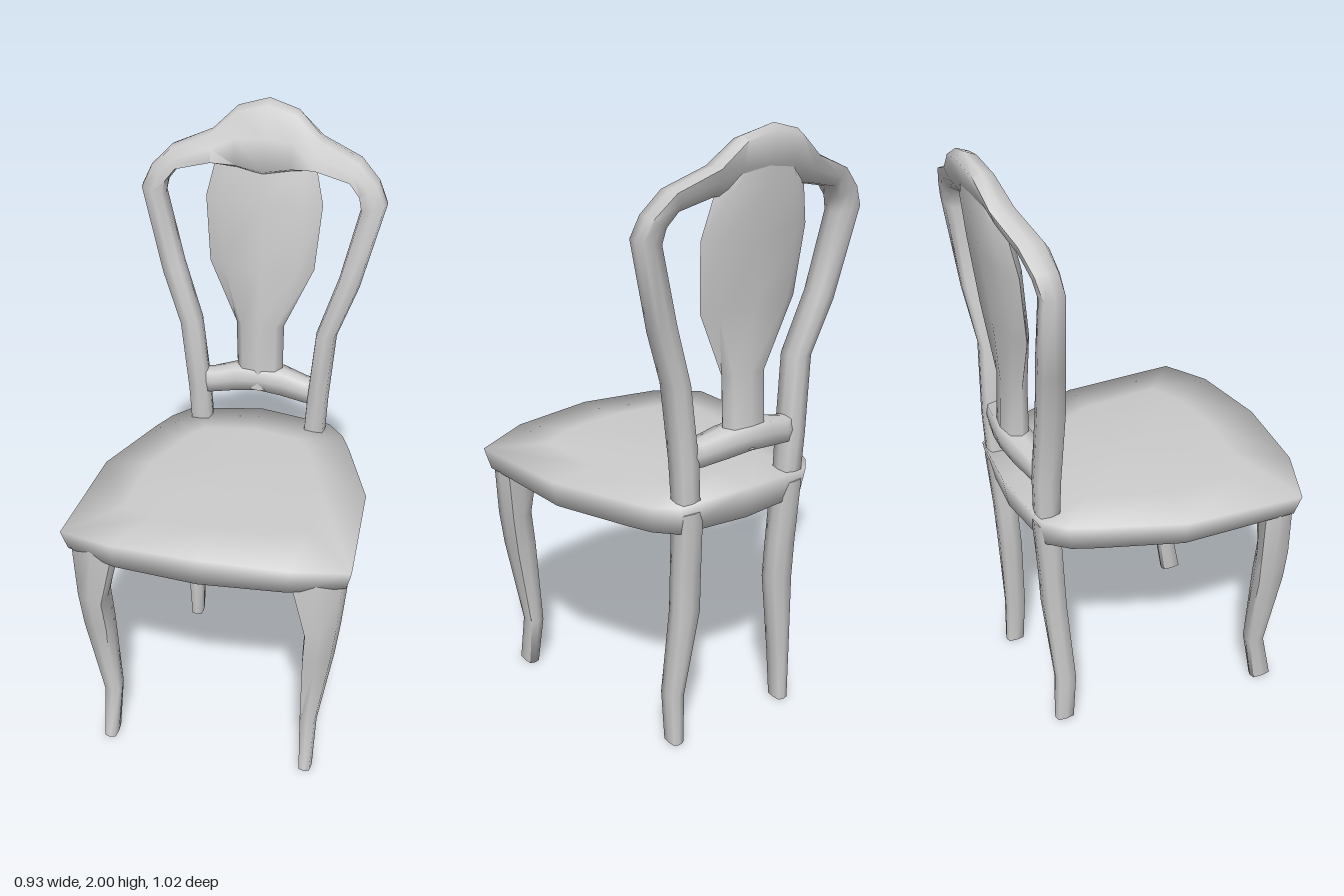
import * as THREE from 'three';
import { toCreasedNormals } from 'three/addons/utils/BufferGeometryUtils.js';

const material = new THREE.MeshStandardMaterial({ color: 0xcccccc });

// Skin a list of equal-length point rings and close both ends.
function loft(name, rings, crease) {
  const n = rings[0].length, pos = [], idx = [];
  rings.forEach(r => r.forEach(p => pos.push(...p)));
  for (let i = 0; i < rings.length - 1; i++) {
    for (let j = 0; j < n; j++) {
      const a = i * n + j, b = i * n + (j + 1) % n;
      idx.push(a, a + n, b, b, a + n, b + n);
    }
  }
  [0, rings.length - 1].forEach((r, end) => {
    const c = pos.length / 3;
    for (let k = 0; k < 3; k++) pos.push(rings[r].reduce((s, p) => s + p[k], 0) / n);
    for (let j = 0; j < n; j++) {
      const a = r * n + j, b = r * n + (j + 1) % n;
      idx.push(c, end ? b : a, end ? a : b);
    }
  });
  const geometry = new THREE.BufferGeometry();
  geometry.setAttribute('position', new THREE.Float32BufferAttribute(pos, 3));
  geometry.setIndex(idx);
  const mesh = new THREE.Mesh(toCreasedNormals(geometry, crease), material);
  mesh.name = name;
  return mesh;
}

// Eight-sided bar; each row is [outer x, outer y, inner x, inner y, front z, back z, lean].
function bar(name, rows, corner = 0.85) {
  const rings = rows.map(([xo, yo, xi, yi, zf, zb, lean = 0]) =>
    Array.from({ length: 8 }, (_, k) => {
      const a = k * Math.PI / 4, s = k % 2 ? corner * Math.SQRT2 : 1;
      const u = Math.cos(a) * s, w = Math.sin(a) * s;
      return [
        (xo + xi) / 2 + u * (xo - xi) / 2,
        (yo + yi) / 2 + u * (yo - yi) / 2,
        (zf + zb) / 2 + w * (zf - zb) / 2 + u * lean / 2,
      ];
    }));
  return loft(name, rings, 1.45);
}

// Mirror rows across x = 0, reversing the path so faces stay outward.
const mirror = rows => rows.map(([xo, yo, xi, yi, ...z]) => [-xo, yo, -xi, yi, ...z]).reverse();

// Level sections: [y, outer x, inner x, front z, back z, lean].
const level = rows => rows.map(([y, xo, xi, ...z]) => [xo, y, xi, y, ...z]);

export function createModel() {
  const chair = new THREE.Group();
  chair.name = 'chair';

  // Padded seat: bowed front, sides tapering to the back
  const half = [
    [0, 0.88, 0.495], [0.285, 0.868, 0.47], [0.465, 0.845, 0.405], [0.445, 0.86, 0],
    [0.345, 0.865, -0.265], [0.31, 0.865, -0.345], [0.25, 0.87, -0.41], [0, 0.885, -0.437],
  ];
  const outline = [
    ...half.map(([x, y, z]) => [-x, y, z]),
    ...half.slice(1, -1).reverse(),
  ];
  const seatRings = [
    outline.map(([x, , z]) => [x * 0.965, 0.775, z * 0.96]),
    outline,
    outline.map(([x, y, z]) => [x * 0.65, y * 0.4 + 0.889 * 0.6, z * 0.65]),
    outline.map(([x, , z]) => [x * 0.3, 0.89, z * 0.3]),
  ];
  chair.add(loft('seat', seatRings, 1.9));

  // Legs; the front pair follows the slanted seat corners
  const frontLeg = level([
    [0, 0.362, 0.32, 0.41, 0.335], [0.18, 0.367, 0.31, 0.37, 0.308],
    [0.48, 0.417, 0.318, 0.415, 0.305, -0.03], [0.6, 0.432, 0.325, 0.425, 0.305, -0.045],
    [0.775, 0.448, 0.28, 0.425, 0.31, -0.06], [0.82, 0.445, 0.28, 0.425, 0.31, -0.06],
  ]);
  const backLeg = level([
    [0, 0.245, 0.203, -0.31, -0.375], [0.18, 0.252, 0.195, -0.30, -0.37],
    [0.48, 0.236, 0.147, -0.318, -0.39], [0.62, 0.238, 0.15, -0.325, -0.397],
    [0.84, 0.241, 0.158, -0.335, -0.415],
  ]);
  chair.add(
    bar('frontLegLeft', frontLeg), bar('frontLegRight', mirror(frontLeg)),
    bar('backLegLeft', backLeg), bar('backLegRight', mirror(backLeg)),
  );

  // Back frame: one bar up a stile, over the crest and down the other stile
  const stile = [
    [0.24, 0.85, 0.165, 0.85, -0.335, -0.41],
    [0.248, 1.0, 0.175, 1.0, -0.33, -0.415],
    [0.27, 1.25, 0.2, 1.25, -0.318, -0.405],
    [0.334, 1.42, 0.266, 1.45, -0.343, -0.425],
    [0.408, 1.71, 0.324, 1.69, -0.362, -0.44, -0.015],
    [0.378, 1.775, 0.316, 1.735, -0.367, -0.45, -0.02],
    [0.312, 1.842, 0.285, 1.775, -0.375, -0.465, -0.03],
    [0.18, 1.897, 0.17, 1.8, -0.395, -0.48, -0.05],
    [0.1, 1.973, 0.09, 1.79, -0.41, -0.485, -0.07],
  ];
  const crest = [0, 2, 0, 1.77, -0.415, -0.49, -0.085];
  chair.add(bar('backFrame', [...stile, crest, ...mirror(stile)]));

  // Vase-shaped splat blending into the crest: [y, half width, front z, back z]
  const splat = level([
    [1.01, 0.085, -0.345, -0.44], [1.08, 0.08, -0.35, -0.435], [1.25, 0.083, -0.35, -0.425],
    [1.46, 0.178, -0.365, -0.44], [1.68, 0.196, -0.383, -0.465],
    [1.82, 0.163, -0.407, -0.485], [1.93, 0.09, -0.435, -0.49],
  ].map(([y, w, ...z]) => [y, w, -w, ...z]));
  chair.add(bar('splat', splat, 0.72));

  // Lower rail, arched between the stiles and flared at the splat
  const rail = [
    [0.21, 1.06, 0.21, 0.975, -0.34, -0.405],
    [0.165, 1.063, 0.165, 0.977, -0.34, -0.415],
    [0.08, 1.085, 0.08, 0.99, -0.345, -0.435],
  ];
  const railMiddle = [0, 1.09, 0, 1.0, -0.345, -0.445];
  chair.add(bar('lowerRail', [...rail, railMiddle, ...mirror(rail)]));

  return chair;
}
